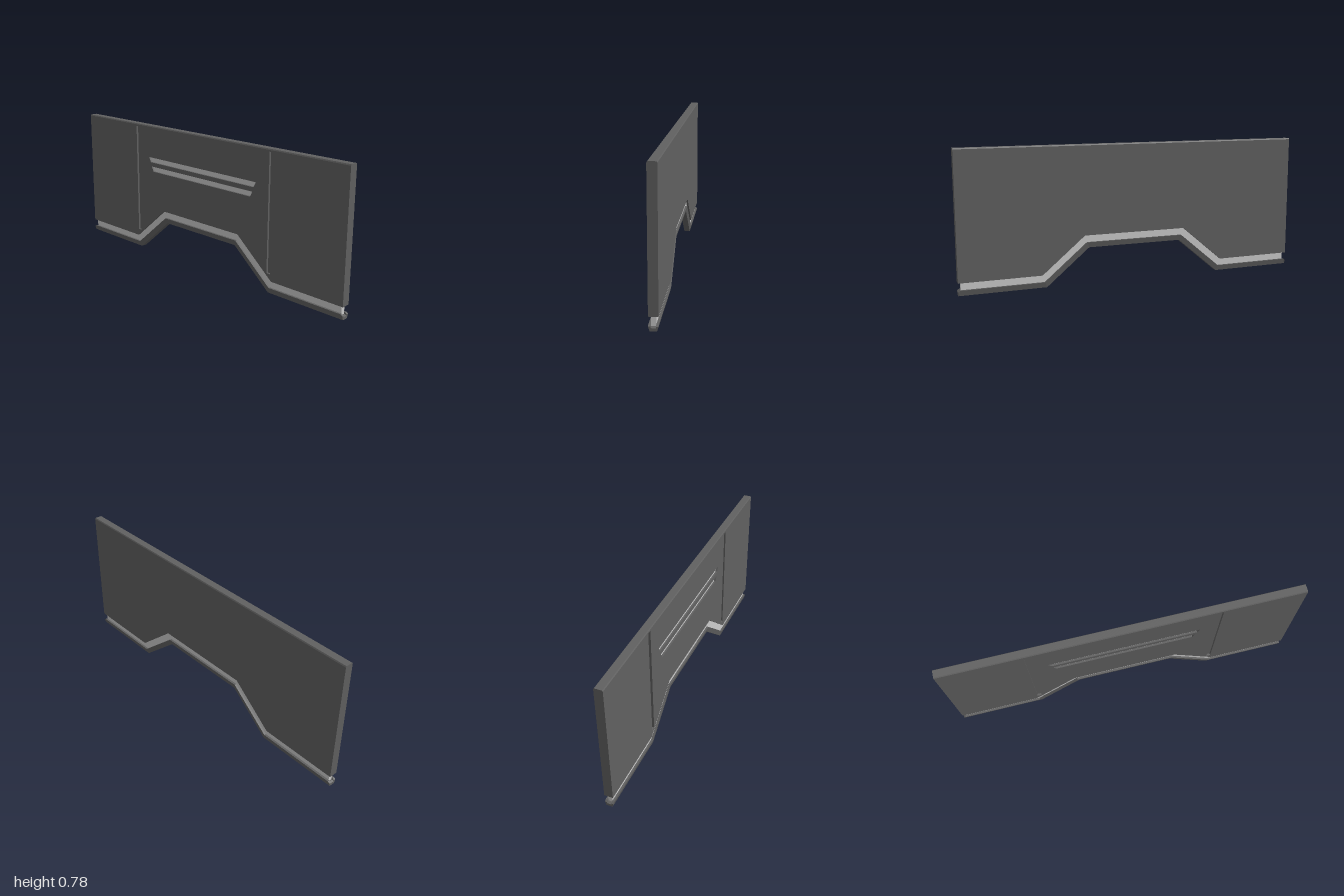
import * as THREE from 'three';

const dark = new THREE.MeshStandardMaterial({ color: 0x606060, flatShading: true });
const light = new THREE.MeshStandardMaterial({ color: 0xcccccc, flatShading: true });
const MITRE = 0.364; // sideways shift of each bend per unit of height above the edge

function addMesh(group, name, geometry, material) {
  const mesh = new THREE.Mesh(geometry, material);
  mesh.name = name;
  group.add(mesh);
  return mesh;
}

// Four bends of the arched lower edge, raised by h
function archPoints(h) {
  const o = 0.52 + MITRE * h, i = 0.275 + MITRE * h;
  return [[-o, h], [-i, 0.205 + h], [i, 0.205 + h], [o, h]];
}

// Sweeps a (z, h) profile along the arched edge; tips = [x, height scale] of each end station
function sweepAlongEdge(profile, tips) {
  const rings = profile.map(([z, h]) => {
    const left = tips.map(([x, s]) => [-x, h * s]);
    const right = tips.map(([x, s]) => [x, h * s]).reverse();
    return [...left, ...archPoints(h), ...right].map(([x, y]) => new THREE.Vector3(x, y, z));
  });
  const positions = [];
  const tri = (...pts) => pts.forEach((p) => positions.push(p.x, p.y, p.z));
  const last = rings[0].length - 1;
  rings.forEach((a, j) => {
    const b = rings[(j + 1) % rings.length];
    for (let i = 0; i < last; i++) {
      tri(a[i], b[i], b[i + 1]);
      tri(a[i], b[i + 1], a[i + 1]);
    }
  });
  const contour = profile.map(([z, h]) => new THREE.Vector2(-z, h));
  for (const [a, b, c] of THREE.ShapeUtils.triangulateShape(contour, [])) {
    tri(rings[a][last], rings[b][last], rings[c][last]);
    tri(rings[a][0], rings[c][0], rings[b][0]);
  }
  const geometry = new THREE.BufferGeometry();
  geometry.setAttribute('position', new THREE.Float32BufferAttribute(positions, 3));
  geometry.computeVertexNormals();
  return geometry;
}

const toPoints = (list) => list.map(([x, y]) => new THREE.Vector2(x, y));

function panelShape() {
  return new THREE.Shape(toPoints([[-1, 0.07], ...archPoints(0.07), [1, 0.07], [1, 0.78], [-1, 0.78]]));
}

// Extruded slab whose top corners are bevelled
function slab(shape, z0, z1) {
  const depth = z1 - z0;
  const geometry = new THREE.ExtrudeGeometry(shape, {
    depth, steps: Math.round(depth / 0.004), bevelEnabled: false,
  });
  geometry.translate(0, 0, z0);
  const p = geometry.attributes.position;
  for (let i = 0; i < p.count; i++) {
    if (p.getY(i) > 0.779 && Math.abs(p.getZ(i)) > 0.022) p.setY(i, 0.774);
  }
  geometry.computeVertexNormals();
  return geometry;
}

export function createModel() {
  const group = new THREE.Group();
  group.name = 'archedPanel';

  // Slanted vent slots and vertical grooves cut in the front layer
  const slots = [[0.59, 0.56, 0.425, 0.41], [0.535, 0.505, 0.402, 0.387]].map(
    ([top, bottom, wt, wb]) => toPoints([[-wb, bottom], [wb, bottom], [wt, top], [-wt, top]]));
  const grooves = [-0.525, 0.525].map((x) =>
    toPoints([[x - 0.012, 0.11], [x + 0.012, 0.11], [x + 0.012, 0.765], [x - 0.012, 0.765]]));

  const front = panelShape();
  for (const outline of [...slots, ...grooves]) front.holes.push(new THREE.Path(outline));
  addMesh(group, 'panelBack', slab(panelShape(), -0.024, 0.012), dark);
  addMesh(group, 'panelFront', slab(front, 0.012, 0.024), dark);

  // Light floors of the vent slots
  slots.forEach((outline) => {
    const floor = addMesh(group, 'ventInset', new THREE.ShapeGeometry(new THREE.Shape(outline)), light);
    floor.position.z = 0.0135;
  });

  // Recessed light band between panel and lower trim
  addMesh(group, 'recessedBand', sweepAlongEdge(
    [[0.012, 0.015], [-0.012, 0.015], [-0.012, 0.075], [0.012, 0.075]], [[0.985, 1]]), light);

  // Tapered lower trim, channelled on top, with bevelled tips
  addMesh(group, 'lowerTrim', sweepAlongEdge(
    [[0.017, 0], [-0.017, 0], [-0.024, 0.03], [-0.012, 0.03],
      [-0.012, 0.02], [0.012, 0.02], [0.012, 0.03], [0.024, 0.03]],
    [[1, 0.75], [0.99, 1]]), dark);

  return group;
}
